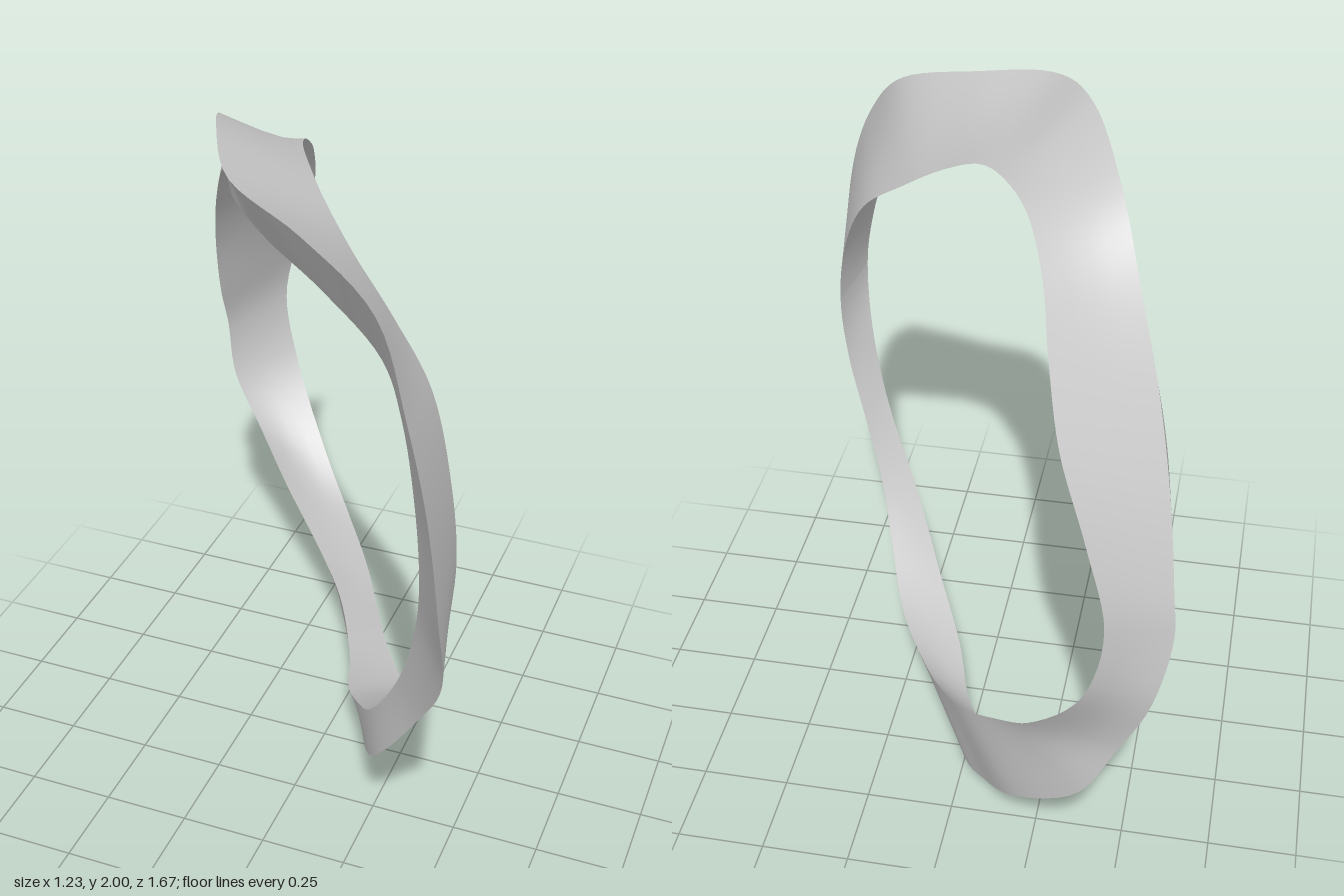
import * as THREE from 'three';

const STEPS = 144;

// Closed smooth edge through a few x, y, z stations
function edge(values) {
  const points = [];
  for (let i = 0; i < values.length; i += 3) {
    points.push(new THREE.Vector3(values[i], values[i + 1], values[i + 2]));
  }
  const curve = new THREE.CatmullRomCurve3(points, true, 'centripetal');
  return Array.from({ length: STEPS + 1 }, (_, i) => curve.getPoint(i / STEPS));
}

// Ruled face between two edges of the ring
function ruledFace(name, a, b, material) {
  const positions = [];
  const index = [];
  const rows = 4;
  for (let i = 0; i <= STEPS; i++) {
    for (let j = 0; j <= rows; j++) {
      positions.push(...a[i % STEPS].clone().lerp(b[i % STEPS], j / rows).toArray());
    }
  }
  for (let i = 0; i < STEPS; i++) {
    for (let j = 0; j < rows; j++) {
      const p = i * (rows + 1) + j;
      const q = p + rows + 1;
      index.push(p, p + 1, q + 1, p, q + 1, q);
    }
  }
  const geometry = new THREE.BufferGeometry();
  geometry.setAttribute('position', new THREE.Float32BufferAttribute(positions, 3));
  geometry.setIndex(index);
  geometry.computeVertexNormals();
  const mesh = new THREE.Mesh(geometry, material);
  mesh.name = name;
  return mesh;
}

export function createModel() {
  const group = new THREE.Group();
  group.name = 'twistedRing';
  const grey = new THREE.MeshStandardMaterial({ color: 0xc8c8c8, side: THREE.DoubleSide });
  grey.name = 'light grey';

  // Each edge starts at the front (+z), runs over the top, and returns underneath
  const middleEdge = edge([
    0.48, 1.15, 0.61, 0.45, 1.32, 0.57, 0.39, 1.5, 0.5, 0.31, 1.61, 0.42,
    0.12, 1.72, 0.33, -0.06, 1.785, 0.24, -0.21, 1.81, 0.1, -0.33, 1.77, -0.12,
    -0.43, 1.7, -0.3, -0.51, 1.53, -0.43, -0.56, 1.35, -0.53, -0.585, 1.15, -0.61,
    -0.59, 1.0, -0.67, -0.575, 0.82, -0.68, -0.48, 0.62, -0.67, -0.38, 0.46, -0.63,
    -0.2, 0.3, -0.5, -0.1, 0.225, -0.4, 0, 0.16, -0.22, 0.07, 0.2, -0.02,
    0.17, 0.31, 0.17, 0.28, 0.47, 0.36, 0.4, 0.72, 0.49, 0.46, 0.95, 0.56,
  ]);
  const innerEdge = edge([
    0.53, 1.1, 0.46, 0.5, 1.3, 0.43, 0.41, 1.5, 0.33, 0.27, 1.63, 0.23,
    0.13, 1.74, 0.14, 0.01, 1.82, 0.03, -0.08, 1.845, -0.1, -0.16, 1.835, -0.25,
    -0.23, 1.77, -0.45, -0.27, 1.67, -0.61, -0.32, 1.5, -0.74, -0.4, 1.28, -0.81,
    -0.455, 1.05, -0.835, -0.41, 0.82, -0.82, -0.25, 0.56, -0.68, -0.14, 0.45, -0.57,
    -0.03, 0.35, -0.45, 0.05, 0.285, -0.33, 0.13, 0.245, -0.2, 0.25, 0.28, 0,
    0.32, 0.38, 0.17, 0.38, 0.52, 0.31, 0.45, 0.7, 0.4, 0.51, 0.9, 0.45,
  ]);
  const outerEdge = edge([
    0.6, 1.18, 0.83, 0.55, 1.44, 0.79, 0.47, 1.63, 0.71, 0.34, 1.8, 0.56,
    0.1, 1.9, 0.42, -0.13, 1.965, 0.31, -0.27, 2.0, 0.07, -0.38, 1.91, -0.2,
    -0.46, 1.72, -0.38, -0.53, 1.53, -0.53, -0.58, 1.33, -0.66, -0.61, 1.12, -0.745,
    -0.62, 1.0, -0.77, -0.58, 0.8, -0.8, -0.49, 0.58, -0.77, -0.4, 0.4, -0.75,
    -0.2, 0.19, -0.6, -0.08, 0.05, -0.42, 0, 0, -0.3, 0.1, 0.07, -0.08,
    0.21, 0.2, 0.22, 0.33, 0.4, 0.46, 0.49, 0.69, 0.61, 0.595, 0.95, 0.76,
  ]);

  // Three faces close the triangular section, with creases at the edges
  group.add(
    ruledFace('wideFace', outerEdge, innerEdge, grey),
    ruledFace('innerFace', innerEdge, middleEdge, grey),
    ruledFace('frontFace', middleEdge, outerEdge, grey),
  );
  return group;
}
